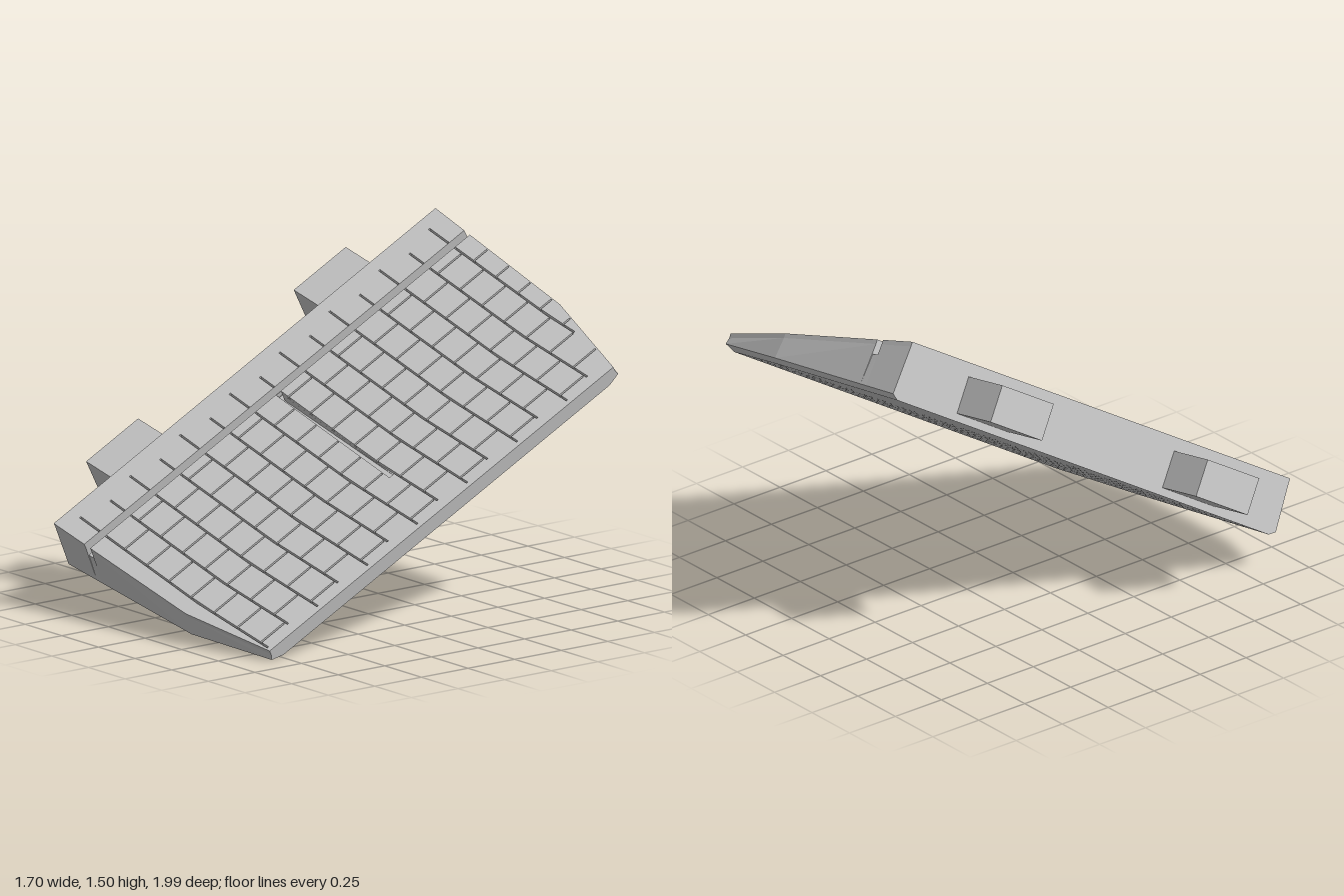
import * as THREE from 'three';
import { ConvexGeometry } from 'three/addons/geometries/ConvexGeometry.js';

// Half length of the flap at its root, shoulder and thin edge
const X = [-0.536, 0.312, 0.767];
const TOP = [1.094, 1.073, 0.985];
const RIM = [1.108, 1.087, 0.993];
const BELLY = [1.075, 1.05, 0.935];
const lerp = THREE.MathUtils.lerp;
const across = (x) => (x - X[0]) / (X[2] - X[0]);
const topY = (x) => lerp(0.106, -0.045, across(x));
const rimY = (x) => lerp(-0.128, -0.092, across(x));
const TOP_SKIN = 0.02, BELLY_SKIN = 0.02;
const PITCH = 1 / 7, BRICK = 0.146, HALF = 0.0042;
// Long channel beside the root, and the tapering slot that leaves it
const CHANNEL = [-0.34, -0.302], SLOT = [-0.004, 0.024], SLOT_END = 0.45;

function halfLength(ends, x) {
  return x < X[1]
    ? lerp(ends[0], ends[1], (x - X[0]) / (X[1] - X[0]))
    : lerp(ends[1], ends[2], (x - X[1]) / (X[2] - X[1]));
}

const coreTop = (x) => topY(x) - TOP_SKIN;
const channelTop = (x) => topY(x) - 0.065;
const slotTop = (x) => (x < SLOT_END
  ? lerp(topY(CHANNEL[1]) - 0.06, coreTop(SLOT_END), (x - CHANNEL[1]) / (SLOT_END - CHANNEL[1]))
  : coreTop(x));

// Convex slice of the core; z0 and z1 replace its back or front end
function coreSlice(xs, top, z0, z1) {
  const pts = [];
  for (const x of xs) {
    for (const [y, ends] of [[top(x), TOP], [rimY(x), RIM]]) {
      pts.push(new THREE.Vector3(x, y, z0 ?? -halfLength(ends, x)));
      pts.push(new THREE.Vector3(x, y, z1 ?? halfLength(ends, x)));
    }
  }
  return new ConvexGeometry(pts);
}

// Plan outline of a skin between two positions across the flap
function outline(ends, x0, x1) {
  const xs = [x0, ...(x0 < X[1] && x1 > X[1] ? [X[1]] : []), x1];
  const front = xs.map((x) => new THREE.Vector2(x, -halfLength(ends, x)));
  const back = xs.map((x) => new THREE.Vector2(x, halfLength(ends, x))).reverse();
  return new THREE.Shape([...front, ...back]);
}

// One long groove with the short joints of the tile row behind it
function combGroove(ends, row, x0, x1, firstJoint, slotted) {
  const line = (x) => row * PITCH + 0.025 * Math.max(0, (x - X[1]) / (X[2] - X[1]));
  const pts = [];
  const put = (x, dy) => pts.push(new THREE.Vector2(x, line(x) + dy));
  if (slotted && row === 0) {
    put(x0, -SLOT[1]);
    pts.push(new THREE.Vector2(SLOT_END, -SLOT[1]));
    put(SLOT_END, -HALF);
  } else {
    put(x0, -HALF);
    if (x1 > X[1]) put(X[1], -HALF);
  }
  put(x1, -HALF);
  put(x1, HALF);
  const joints = [];
  const shift = Math.abs(row) % 2 ? BRICK / 2 : 0;
  for (let x = firstJoint + shift; x < x1 - 0.03; x += BRICK) joints.push(x);
  for (const x of joints.reverse()) {
    const nearSlot = slotted && row === -1 && x < SLOT_END + 0.01;
    const reach = nearSlot ? -SLOT[1] - 0.004 : line(x) + PITCH - HALF - 0.004;
    const end = Math.min(reach, halfLength(ends, x + HALF) - 0.006);
    if (end < line(x) + HALF + 0.01) continue;
    put(x + HALF, HALF);
    pts.push(new THREE.Vector2(x + HALF, end), new THREE.Vector2(x - HALF, end));
    put(x - HALF, HALF);
  }
  put(x0, HALF);
  return new THREE.Path(pts);
}

// Raises a grooved plan onto a sloping face; lowerEnds bevels its underside
function skinGeometry(shape, depth, baseY, lowerEnds) {
  const g = new THREE.ExtrudeGeometry(shape, { depth, bevelEnabled: false });
  g.rotateX(-Math.PI / 2);
  const p = g.attributes.position;
  for (let i = 0; i < p.count; i++) {
    const x = p.getX(i), y = p.getY(i);
    if (y < depth / 2) {
      const limit = halfLength(lowerEnds, x);
      p.setZ(i, THREE.MathUtils.clamp(p.getZ(i), -limit, limit));
    }
    p.setY(i, y + baseY(x));
  }
  g.computeVertexNormals();
  return g;
}

export function createModel() {
  const grey = new THREE.MeshStandardMaterial({ color: 0xc8c8c8 });
  grey.name = 'light grey';
  const flap = new THREE.Group();
  flap.name = 'flap';
  const add = (name, geometry) => {
    const mesh = new THREE.Mesh(geometry, grey);
    mesh.name = name;
    flap.add(mesh);
    return mesh;
  };

  // Wedge core, whose faces form the groove floors
  const fieldX = [CHANNEL[1], X[1], X[2]];
  add('rootCore', coreSlice([X[0], CHANNEL[0]], coreTop));
  add('channelFloor', coreSlice(CHANNEL, channelTop));
  add('backCore', coreSlice(fieldX, coreTop, undefined, SLOT[0]));
  add('slotFloor', coreSlice([CHANNEL[1], SLOT_END, X[2]], slotTop, SLOT[0], SLOT[1]));
  add('frontCore', coreSlice(fieldX, coreTop, SLOT[1], undefined));

  // Tiled skins: root strip and field above, one full face below
  const strip = outline(TOP, X[0], CHANNEL[0]);
  const field = outline(TOP, CHANNEL[1], X[2]);
  const belly = outline(RIM, X[0], X[2]);
  for (let row = -7; row <= 7; row++) {
    const odd = Math.abs(row) % 2;
    const start = odd ? -0.47 : -0.435;
    const end = odd ? 0.745 : 0.715;
    const fieldEnd = row === 7 ? 0.48 : end;
    const bellyEnd = row === 7 ? 0.38 : row === -7 ? 0.5 : end;
    strip.holes.push(combGroove(TOP, row, start, CHANNEL[0] - 0.003, 0, false));
    field.holes.push(combGroove(TOP, row, CHANNEL[1] + 0.003, fieldEnd, -0.25, true));
    belly.holes.push(combGroove(BELLY, row, start, bellyEnd, -0.33, false));
  }
  add('rootStrip', skinGeometry(strip, TOP_SKIN, coreTop, TOP));
  add('upperTiles', skinGeometry(field, TOP_SKIN, coreTop, TOP));
  add('lowerTiles', skinGeometry(belly, BELLY_SKIN, (x) => rimY(x) - BELLY_SKIN, BELLY));

  // Hinge tabs on the root face
  for (const s of [-1, 1]) {
    add('hingeTab', new THREE.BoxGeometry(0.25, 0.163, 0.298)).position.set(-0.642, -0.033, s * 0.595);
  }

  // Tilt the flap into its resting pose
  const zAxis = new THREE.Vector3(-0.11, -0.516, 0.849).normalize();
  const xAxis = new THREE.Vector3(0.98, -0.2, 0.005);
  const yAxis = new THREE.Vector3().crossVectors(zAxis, xAxis).normalize();
  xAxis.crossVectors(yAxis, zAxis);
  flap.quaternion.setFromRotationMatrix(new THREE.Matrix4().makeBasis(xAxis, yAxis, zAxis));
  flap.position.set(0, 0.747, 0).addScaledVector(zAxis, 0.015);

  const model = new THREE.Group();
  model.name = 'tiledFlap';
  model.add(flap);
  return model;
}
